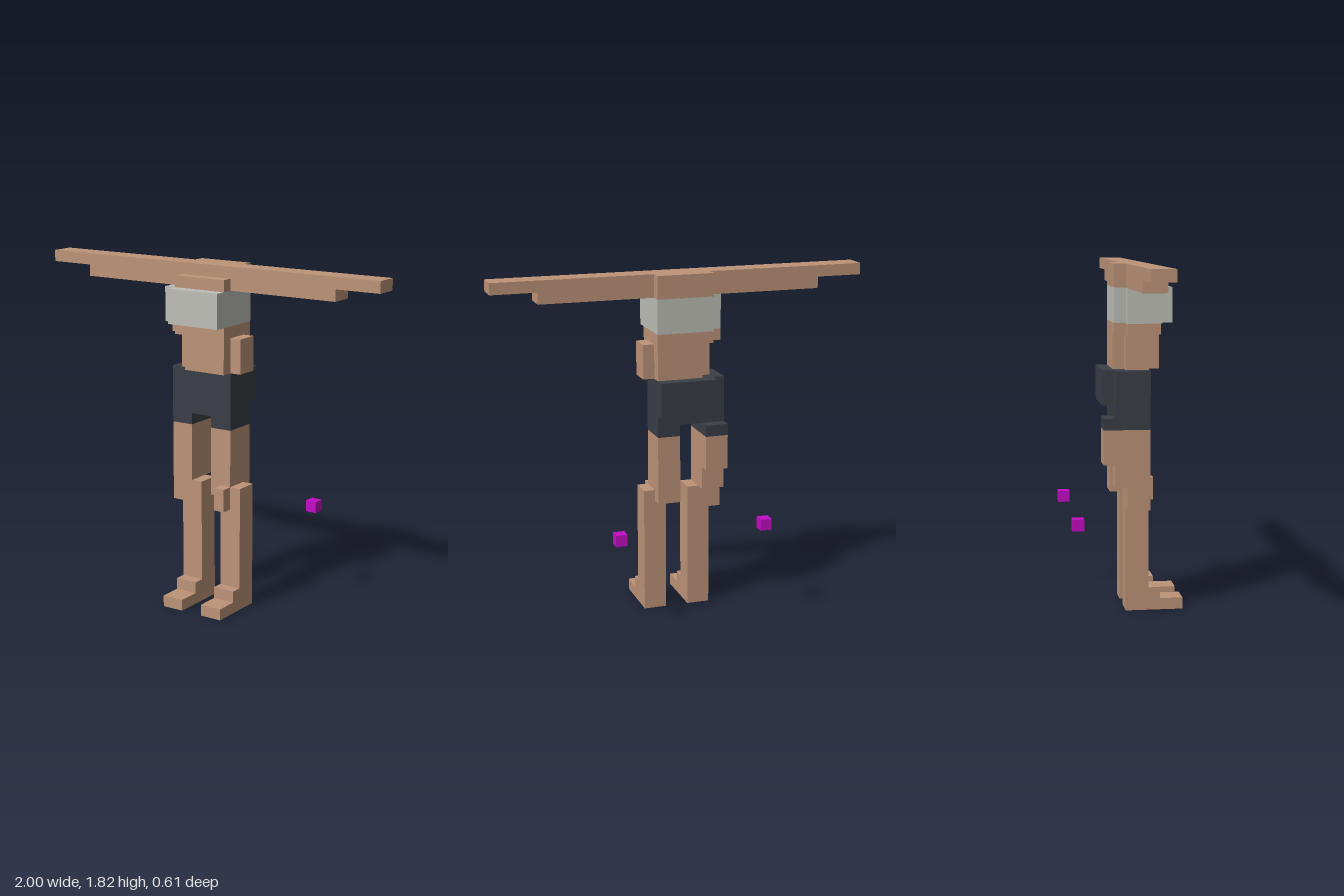
import * as THREE from 'three';

// One grid cell; the arm span is 33 cells wide
const U = 2 / 33;

export function createModel() {
  const model = new THREE.Group();
  model.name = 'blockFigure';

  const mat = (name, color) => {
    const m = new THREE.MeshStandardMaterial({ color });
    m.name = name;
    return m;
  };
  const skin = mat('skin', 0xbc9378);
  const grey = mat('lightGreyCloth', 0xbfbfb9);
  const dark = mat('darkCloth', 0x3a3f46);
  const magenta = mat('magentaMarker', 0xc40cc4);

  // Box from cell ranges: x counts from the right hand tip, y from the ground, z from the middle
  const box = (parent, name, material, [x0, x1], [y0, y1], [z0, z1]) => {
    const geo = new THREE.BoxGeometry((x1 - x0) * U, (y1 - y0) * U, (z1 - z0) * U);
    const mesh = new THREE.Mesh(geo, material);
    mesh.name = name;
    mesh.position.set(((x0 + x1) / 2) * U - 1, ((y0 + y1) / 2) * U, ((z0 + z1) / 2) * U);
    parent.add(mesh);
  };
  const group = (name) => {
    const g = new THREE.Group();
    g.name = name;
    model.add(g);
    return g;
  };

  // Outstretched arms
  const arms = group('arms');
  box(arms, 'armSpan', skin, [0, 33], [29, 30], [0, 2]);
  box(arms, 'upperArms', skin, [4, 29], [28, 29], [0, 2]);

  // Torso, with the chest band wrapped round it
  const torso = group('torso');
  box(torso, 'upperBack', skin, [14, 19], [28, 30], [-1, 0]);
  box(torso, 'collar', skin, [14, 19], [28, 29], [2, 3]);
  box(torso, 'chestBand', grey, [14, 19], [25, 28], [-1, 4]);
  box(torso, 'chestBandSide', grey, [13, 14], [25, 28], [0, 3]);
  box(torso, 'ribs', skin, [14, 19], [24, 25], [-1, 3]);
  box(torso, 'ribSide', skin, [13, 14], [24, 25], [0, 2]);
  box(torso, 'waist', skin, [15, 19], [21, 24], [-1, 3]);
  box(torso, 'rightFlank', skin, [14, 15], [21, 24], [0, 2]);
  box(torso, 'leftFlank', skin, [19, 20], [21, 24], [0, 2]);

  // Shorts
  const shorts = group('shorts');
  box(shorts, 'shortsBody', dark, [13, 19], [17, 21], [-1, 2]);
  box(shorts, 'shortsSeat', dark, [14, 19], [18, 21], [-2, -1]);
  for (const x of [13, 17]) box(shorts, 'shortsLeg', dark, [x, x + 2], [16, 17], [-1, 2]);
  box(shorts, 'shortsHem', dark, [13, 15], [16, 17], [-2, -1]);

  // Right thigh
  const right = group('rightLeg');
  box(right, 'thigh', skin, [13, 15], [11, 16], [-1, 2]);
  box(right, 'thighBack', skin, [13, 15], [13, 16], [-2, -1]);
  box(right, 'outerKnee', skin, [13, 14], [9, 11], [0, 2]);

  // Left thigh and kneecap
  const left = group('leftLeg');
  box(left, 'thigh', skin, [17, 19], [11, 16], [-1, 2]);
  box(left, 'innerKnee', skin, [17, 18], [10, 11], [-1, 2]);
  box(left, 'kneeBack', skin, [18, 19], [10, 11], [-1, 0]);
  box(left, 'kneecap', skin, [18, 19], [9, 11], [2, 3]);

  // Lower legs and feet
  for (const [leg, x] of [[right, 14], [left, 18]]) {
    box(leg, 'shin', skin, [x, x + 2], [1, 11], [0, 2]);
    box(leg, 'instep', skin, [x, x + 2], [1, 2], [2, 3]);
    box(leg, 'foot', skin, [x, x + 2], [0, 1], [0, 5]);
  }

  // Floating cubes behind the figure
  for (const x of [10, 23]) box(model, 'floatingCube', magenta, [x, x + 1], [8, 9], [-5, -4]);

  return model;
}
